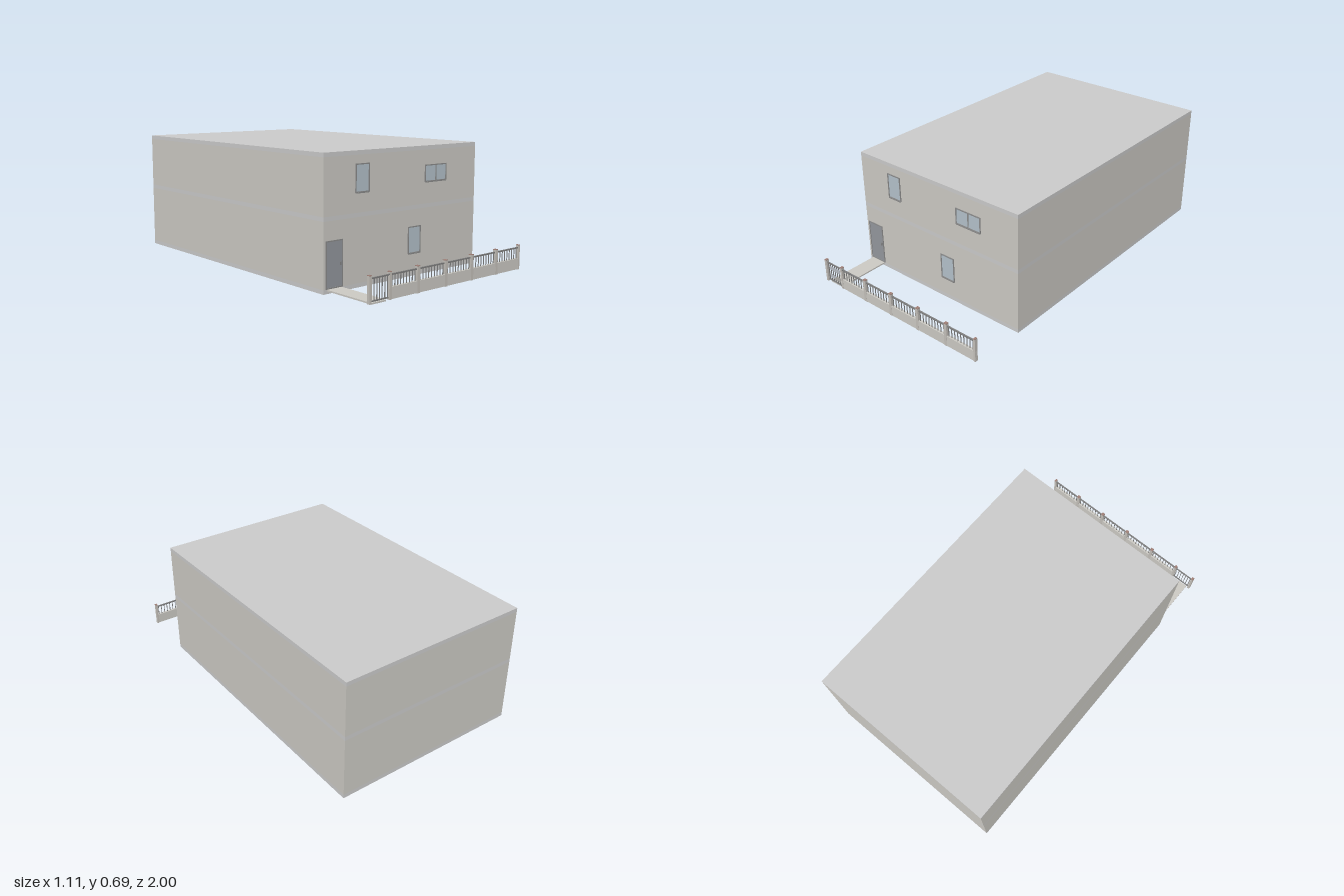
import * as THREE from 'three';

const mat = (color) => new THREE.MeshStandardMaterial({ color });
const wallMat = mat(0xcccac4), slabMat = mat(0xc0c0be), frameMat = mat(0x8c8c8c);
const glassMat = mat(0xb4c2cb), doorMat = mat(0x94989e), metalMat = mat(0x808080);
const postMat = mat(0xc4c0ba), capMat = mat(0xa08078);
const FRONT = 0.675, FENCE_Z = 0.991;

// Box given by its limits along each axis
function box(parent, name, material, [x0, x1], [y0, y1], [z0, z1]) {
  const mesh = new THREE.Mesh(new THREE.BoxGeometry(x1 - x0, y1 - y0, z1 - z0), material);
  mesh.position.set((x0 + x1) / 2, (y0 + y1) / 2, (z0 + z1) / 2);
  mesh.name = name;
  parent.add(mesh);
  return mesh;
}

function part(parent, name) {
  const g = new THREE.Group();
  g.name = name;
  parent.add(g);
  return g;
}

// Rectangular frame with a hole, set on the front wall
function frame(parent, name, [x0, x1], [y0, y1], t) {
  const shape = new THREE.Shape([[x0, y0], [x1, y0], [x1, y1], [x0, y1]].map((p) => new THREE.Vector2(...p)));
  shape.holes.push(new THREE.Path([[x0 + t, y0 + t], [x0 + t, y1 - t], [x1 - t, y1 - t], [x1 - t, y0 + t]]
    .map((p) => new THREE.Vector2(...p))));
  const mesh = new THREE.Mesh(new THREE.ExtrudeGeometry(shape, { depth: 0.004, bevelEnabled: false }), frameMat);
  mesh.position.z = FRONT;
  mesh.name = name;
  parent.add(mesh);
}

function addWindow(parent, name, xs, ys, mullion) {
  const g = part(parent, name);
  frame(g, 'windowFrame', xs, ys, 0.006);
  box(g, 'windowGlass', glassMat, [xs[0] + 0.005, xs[1] - 0.005], [ys[0] + 0.005, ys[1] - 0.005], [FRONT - 0.004, FRONT + 0.001]);
  box(g, 'windowSill', frameMat, [xs[0] + 0.003, xs[1] - 0.003], [ys[0] - 0.003, ys[0] + 0.003], [FRONT, FRONT + 0.006]);
  if (mullion) box(g, 'windowMullion', frameMat, [mullion - 0.003, mullion + 0.003], [ys[0] + 0.005, ys[1] - 0.005], [FRONT, FRONT + 0.004]);
}

// Evenly spaced upright bars between two x limits
function bars(parent, count, x0, x1, y0, y1) {
  for (let i = 0; i < count; i++) {
    const x = x0 + ((x1 - x0) * i) / (count - 1);
    box(parent, 'baluster', metalMat, [x - 0.0015, x + 0.0015], [y0, y1], [FENCE_Z - 0.002, FENCE_Z + 0.002]);
  }
}

export function createModel() {
  const model = new THREE.Group();
  model.name = 'house';

  // Two storeys separated by floor and roof slabs
  const building = part(model, 'building');
  const w = [-0.555, 0.555], d = [-1, FRONT];
  box(building, 'groundSlab', slabMat, w, [0, 0.022], d);
  box(building, 'lowerWalls', wallMat, w, [0.022, 0.358], d);
  box(building, 'floorSlab', slabMat, w, [0.358, 0.38], d);
  box(building, 'upperWalls', wallMat, w, [0.38, 0.668], d);
  box(building, 'roofSlab', slabMat, w, [0.668, 0.69], d);

  // Windows
  addWindow(model, 'upperTallWindow', [-0.35, -0.255], [0.48, 0.625]);
  addWindow(model, 'upperSlidingWindow', [0.147, 0.315], [0.496, 0.588], 0.232);
  addWindow(model, 'lowerWindow', [0.025, 0.12], [0.122, 0.268]);

  // Door with handle
  const door = part(model, 'frontDoor');
  frame(door, 'doorFrame', [-0.54, -0.431], [0.023, 0.262], 0.006);
  box(door, 'doorPanel', doorMat, [-0.535, -0.436], [0.028, 0.257], [FRONT - 0.004, FRONT + 0.002]);
  box(door, 'doorHandle', metalMat, [-0.45, -0.443], [0.133, 0.15], [FRONT, FRONT + 0.006]);

  // Path from gate to door
  box(model, 'path', wallMat, [-0.532, -0.438], [0.014, 0.022], [FRONT, 0.988]);

  // Front fence: low wall, posts, rails and balusters
  const fence = part(model, 'fence');
  box(fence, 'lowWall', wallMat, [-0.422, 0.555], [0.022, 0.081], [0.983, 0.999]);
  const posts = [[-0.555, -0.541], [-0.427, -0.413]];
  for (let i = 0; i < 4; i++) posts.push([-0.241 + i * 0.1967, -0.223 + i * 0.1967]);
  posts.push([0.543, 0.555]);
  posts.forEach((xs) => {
    box(fence, 'post', postMat, xs, [0.02, 0.152], [0.982, 1]);
    box(fence, 'postCap', capMat, xs, [0.152, 0.155], [0.982, 1]);
  });
  for (let i = 1; i < posts.length - 1; i++) {
    const x0 = posts[i][1], x1 = posts[i + 1][0];
    box(fence, 'rail', metalMat, [x0, x1], [0.135, 0.142], [0.987, 0.995]);
    bars(fence, 9, x0 + 0.008, x1 - 0.008, 0.081, 0.136);
  }

  // Gate with latch
  const gate = part(model, 'gate');
  box(gate, 'gateTopRail', metalMat, [-0.541, -0.427], [0.135, 0.142], [0.988, 0.994]);
  box(gate, 'gateBottomRail', metalMat, [-0.541, -0.427], [0.028, 0.034], [0.988, 0.994]);
  bars(gate, 7, -0.535, -0.433, 0.03, 0.138);
  box(gate, 'gateLatch', metalMat, [-0.43, -0.408], [0.14, 0.145], [0.994, 0.999]);

  return model;
}
